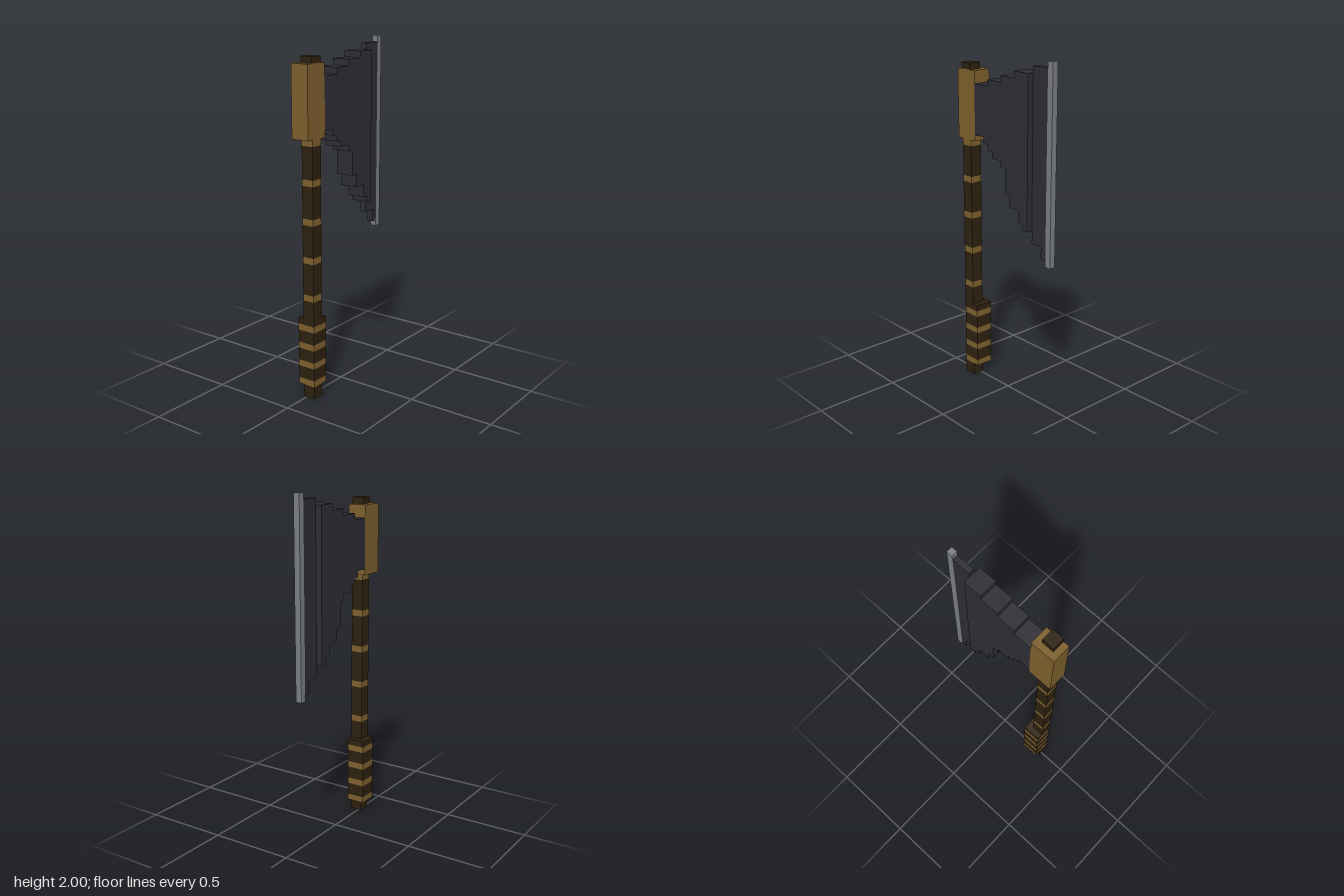
import * as THREE from 'three';

const U = 2 / 55; // one block of the blocky grid

const mat = (name, color) => {
  const m = new THREE.MeshStandardMaterial({ color });
  m.name = name;
  return m;
};

export function createModel() {
  const darkWood = mat('darkWood', 0x2d2110);
  const bronze = mat('bronze', 0x7d5f2d);
  const darkIron = mat('darkIron', 0x2d2d35);
  const steel = mat('steel', 0x7b7d86);

  const axe = new THREE.Group();
  axe.name = 'axe';

  // Box given by its limits in grid blocks
  const box = (parent, name, material, [x0, x1], [y0, y1], [z0, z1]) => {
    const g = new THREE.BoxGeometry((x1 - x0) * U, (y1 - y0) * U, (z1 - z0) * U);
    g.translate((x0 + x1) / 2 * U, (y0 + y1) / 2 * U, (z0 + z1) / 2 * U);
    const mesh = new THREE.Mesh(g, material);
    mesh.name = name;
    parent.add(mesh);
  };

  // Square bar split into wood lengths and one-block bronze bands
  const bandedBar = (name, x, [y0, y1], z, bands) => {
    const group = new THREE.Group();
    group.name = name;
    let y = y0;
    for (const b of bands) {
      if (b > y) box(group, name + 'Wood', darkWood, x, [y, b], z);
      box(group, name + 'Band', bronze, x, [b, b + 1], z);
      y = b + 1;
    }
    if (y < y1) box(group, name + 'Wood', darkWood, x, [y, y1], z);
    axe.add(group);
  };

  const shaftX = [-9, -7], shaftZ = [-0.5, 1.5], fullZ = [-1.5, 1.5];
  bandedBar('pommel', shaftX, [0, 2], shaftZ, []);
  bandedBar('grip', [-9, -6], [2, 13], fullZ, [2, 5, 8, 11]);
  bandedBar('shaft', shaftX, [13, 41], shaftZ, [16, 22, 28, 34, 40]);

  // Head socket with the shaft end showing above it
  box(axe, 'socket', bronze, [-10, -6], [41, 52], fullZ);
  box(axe, 'shaftTip', darkWood, shaftX, [52, 53], shaftZ);

  // Stepped plate: each step is [start, level], ending at xEnd
  const steppedPlate = (name, tops, bottoms, xEnd, [z0, z1]) => {
    const stairs = (steps) => steps.flatMap(([x, y], i) => [
      new THREE.Vector2(x * U, y * U),
      new THREE.Vector2((i + 1 < steps.length ? steps[i + 1][0] : xEnd) * U, y * U),
    ]);
    const shape = new THREE.Shape([...stairs(bottoms), ...stairs(tops).reverse()]);
    const g = new THREE.ExtrudeGeometry(shape, { depth: (z1 - z0) * U, bevelEnabled: false });
    g.translate(0, 0, z0 * U);
    const mesh = new THREE.Mesh(g, darkIron);
    mesh.name = name;
    axe.add(mesh);
  };

  steppedPlate('bladeBody',
    [[-6, 50], [-3, 51], [0, 52], [3, 53]],
    [[-6, 42], [-4, 41], [-3, 40], [-2, 39], [0, 38], [1, 34], [2, 32], [4, 30], [5, 29]],
    6, fullZ);
  steppedPlate('bladeThin', [[6, 54]], [[6, 27], [8, 25]], 9, [-0.5, 0.5]);

  // Bright cutting edge
  box(axe, 'cuttingEdge', steel, [9, 10], [24, 55], [-0.5, 0.5]);

  return axe;
}
